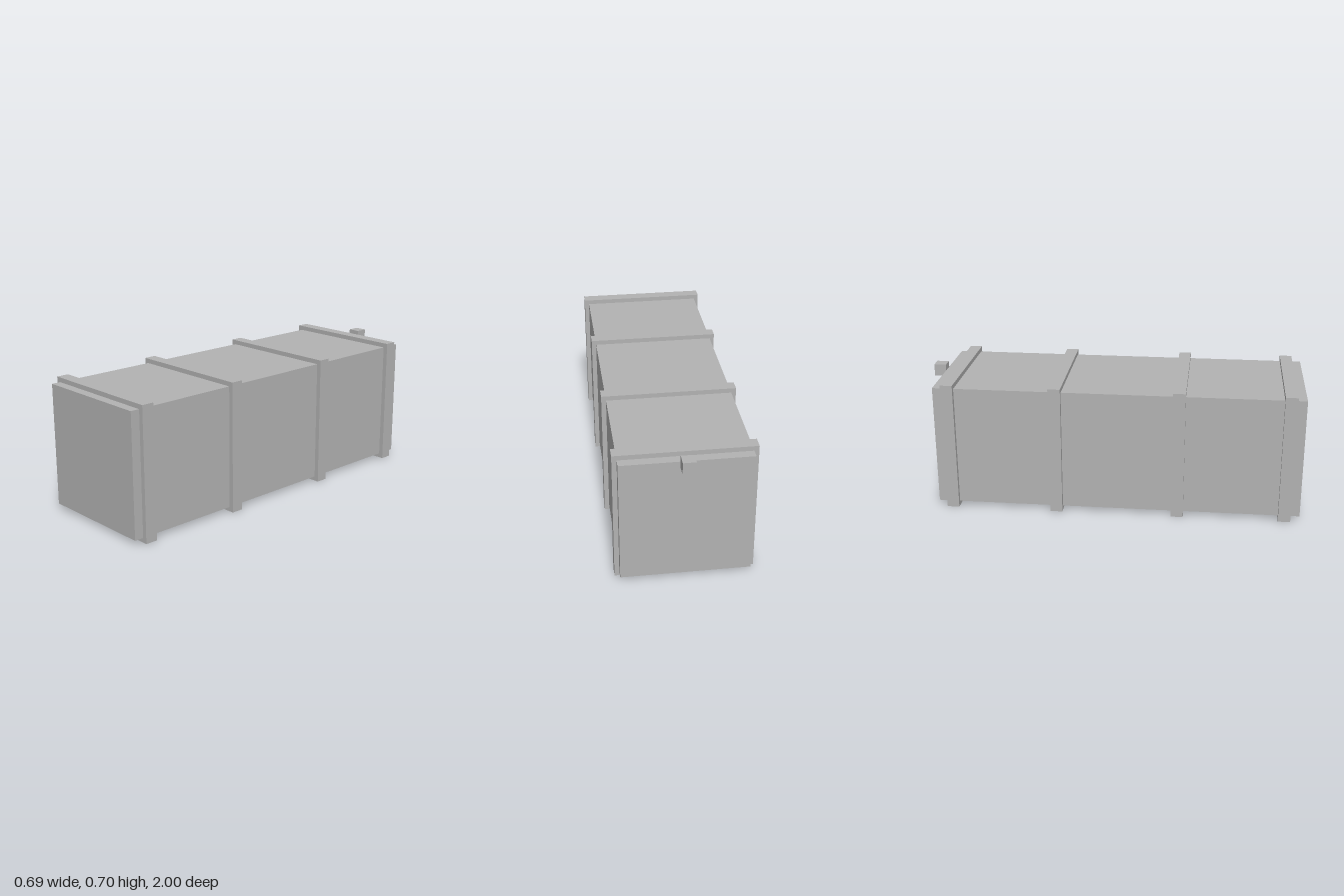
import * as THREE from 'three';

const U = 0.0645; // base module: body is 10 x 10 x 30 modules

export function createModel() {
  const model = new THREE.Group();
  model.name = 'ribbedContainer';
  const grey = new THREE.MeshStandardMaterial({ color: 0xb2b2b2 });
  grey.name = 'grey';

  const addBox = (name, w, h, d, x, y, z) => {
    const mesh = new THREE.Mesh(new THREE.BoxGeometry(w, h, d), grey);
    mesh.name = name;
    mesh.position.set(x, y, z);
    model.add(mesh);
  };

  const ribSize = 10.75 * U;
  const midY = ribSize / 2;
  const midZ = U / 2;

  // Long square body
  addBox('body', 10 * U, 10 * U, 30 * U, 0, midY, midZ);

  // Four square bands around the body
  [13.75, 5, -5, -13.75].forEach((offset, i) => {
    addBox(`band${i + 1}`, ribSize, ribSize, U, 0, midY, midZ + offset * U);
  });

  // Small cube at the top of the back face
  addBox('rearBlock', U, U, U, 0, midY + 5 * U, midZ - 15.5 * U);

  return model;
}
